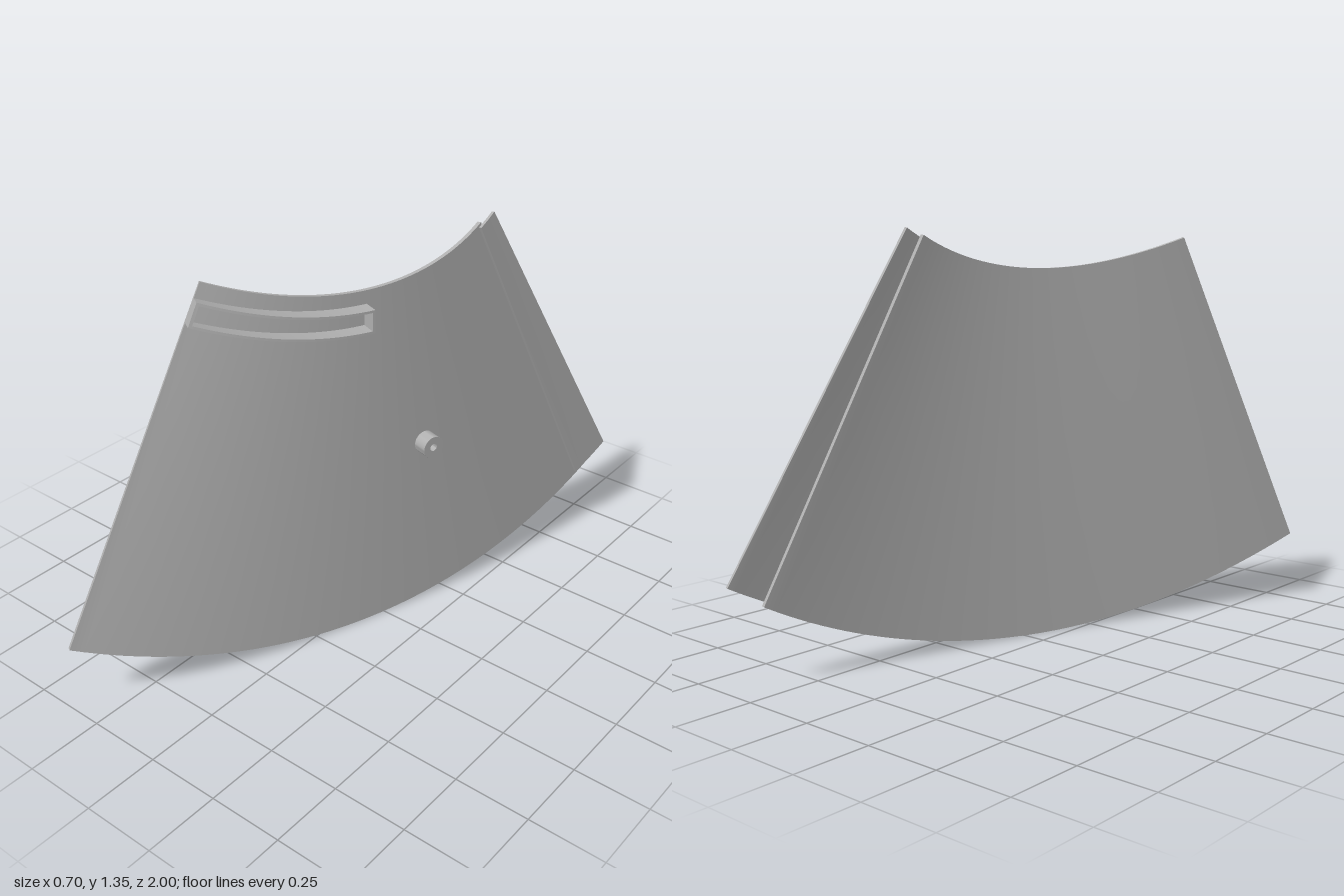
import * as THREE from 'three';
import { toCreasedNormals } from 'three/addons/utils/BufferGeometryUtils.js';

const APEX_Y = 2.24, MID_X = 0.07, MID_Z = 0.07;

// Point on the twisted conical surface: angle in degrees, radius from the apex
function surface(deg, r) {
  const t = THREE.MathUtils.degToRad(deg);
  const slope = -0.00725 - (r - 1.02) * 0.00488;
  return new THREE.Vector3(
    MID_X + slope * deg - 0.000127 * deg * deg,
    APEX_Y - r * Math.cos(t),
    MID_Z + r * Math.sin(t)
  );
}

function normalAt(deg, r) {
  const e = 0.05;
  const along = surface(deg + e, r).sub(surface(deg - e, r));
  const down = surface(deg, r + 0.01).sub(surface(deg, r - 0.01));
  return along.cross(down).normalize();
}

function offsetPoint(deg, r, h) {
  return surface(deg, r).addScaledVector(normalAt(deg, r), h);
}

// Closed slab following the surface; inner and outer radii are functions of angle
function slab(deg0, deg1, rTop, rBottom, h0, h1, steps) {
  const rings = [];
  for (let i = 0; i <= steps; i++) {
    const d = deg0 + (deg1 - deg0) * i / steps;
    const a = rTop(d), b = rBottom(d);
    rings.push([[a, h0], [b, h0], [b, h1], [a, h1]].map(([r, h]) => offsetPoint(d, r, h)));
  }
  const pos = [];
  const quad = (a, b, c, d) => [a, b, c, a, c, d].forEach(p => pos.push(p.x, p.y, p.z));
  for (let i = 0; i < steps; i++) {
    for (let j = 0; j < 4; j++) {
      const k = (j + 1) % 4;
      quad(rings[i][j], rings[i][k], rings[i + 1][k], rings[i + 1][j]);
    }
  }
  const [s, e] = [rings[0], rings[steps]];
  quad(s[3], s[2], s[1], s[0]);
  quad(e[0], e[1], e[2], e[3]);
  const g = new THREE.BufferGeometry();
  g.setAttribute('position', new THREE.Float32BufferAttribute(pos, 3));
  return toCreasedNormals(g, 0.5);
}

export function createModel() {
  const model = new THREE.Group();
  model.name = 'curvedPanel';
  const grey = new THREE.MeshStandardMaterial({ color: 0xb0b0b0 });
  grey.name = 'plain grey';
  const add = (name, geometry, parent = model) => {
    const mesh = new THREE.Mesh(geometry, grey);
    mesh.name = name;
    parent.add(mesh);
    return mesh;
  };
  const fixed = r => () => r;

  // Fan-shaped main sheet
  const bottomEdge = d => 2.24 - (d > 0 ? 6e-5 : 4.2e-5) * d * d;
  add('mainSheet', slab(-25.8, 25, d => 1.02 - 8e-6 * d * d, bottomEdge, -0.014, 0, 48));

  // Lapped strip on the outer face along the rear edge
  add('lapStrip', slab(-29.1, -24.9, fixed(1.022), fixed(2.198), 0, 0.01, 6));

  // Open tray: two curved rails and two end walls
  const tray = new THREE.Group();
  tray.name = 'tray';
  model.add(tray);
  const rTop = 1.064, rBottom = 1.14, wall = 0.008, depth = 0.052;
  add('upperRail', slab(0, 25, fixed(rTop), fixed(rTop + wall), 0, depth, 24), tray);
  add('lowerRail', slab(0, 25, fixed(rBottom - wall), fixed(rBottom), 0, depth, 24), tray);
  for (const [name, d] of [['rearEnd', 0], ['frontEnd', 24.6]]) {
    add(name, slab(d, d + 0.4, fixed(rTop + wall), fixed(rBottom - wall), 0, depth, 1), tray);
  }

  // Round boss with a blind bore
  const profile = [[0.038, -0.005], [0.038, 0.05], [0.013, 0.05], [0.013, 0.01], [0, 0.01]]
    .map(([x, y]) => new THREE.Vector2(x, y));
  const boss = add('boss', toCreasedNormals(new THREE.LatheGeometry(profile, 32), 0.6));
  const bossDeg = 7.6, bossRadius = 1.624;
  boss.position.copy(surface(-bossDeg, bossRadius));
  boss.quaternion.setFromUnitVectors(new THREE.Vector3(0, 1, 0), normalAt(-bossDeg, bossRadius));

  return model;
}
